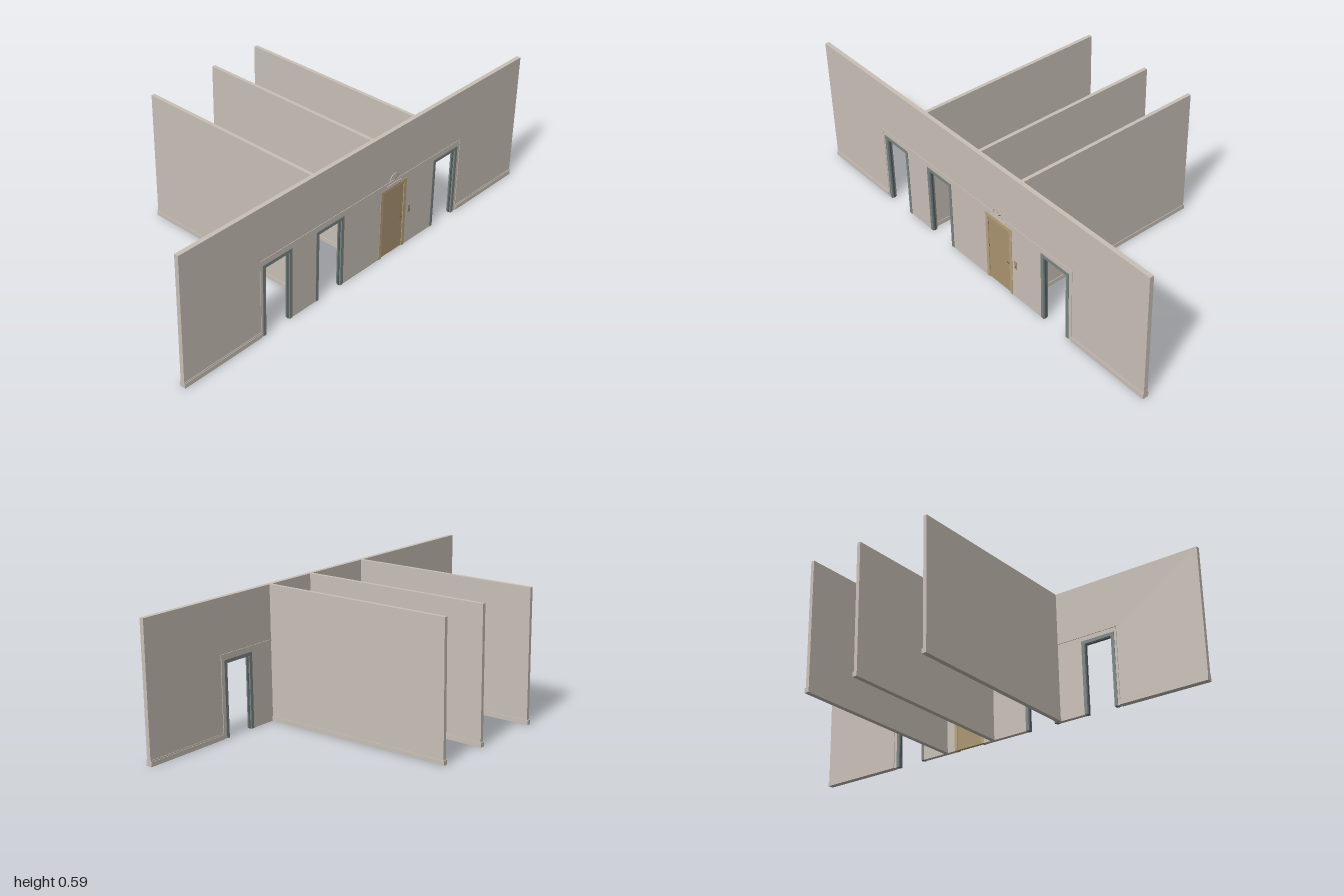
import * as THREE from 'three';

const mat = (name, color, side = THREE.FrontSide) => {
  const m = new THREE.MeshStandardMaterial({ color, side });
  m.name = name;
  return m;
};

export function createModel() {
  const root = new THREE.Group();
  root.name = 'corridorWalls';
  const plaster = mat('plaster', 0xc9c0b7);
  const frameGrey = mat('frameGrey', 0x7b8583);
  const stopGrey = mat('stopGrey', 0x535c5e);
  const wood = mat('wood', 0xab9571);
  const trimWood = mat('trimWood', 0xb7a27f);
  const metal = mat('metal', 0x6a6258);

  const H = 0.59, Z0 = 0.432, Z1 = 0.451, ZM = (Z0 + Z1) / 2;
  const DOOR_W = 0.16, DOOR_H = 0.33, JAMB = 0.015;
  const doors = [-0.51, -0.215, 0.168, 0.503];

  // Box given by its minimum and maximum corners
  const box = (name, material, x0, x1, y0, y1, z0, z1, parent = root) => {
    const mesh = new THREE.Mesh(new THREE.BoxGeometry(x1 - x0, y1 - y0, z1 - z0), material);
    mesh.position.set((x0 + x1) / 2, (y0 + y1) / 2, (z0 + z1) / 2);
    mesh.name = name;
    parent.add(mesh);
    return mesh;
  };

  // Extrusion of an x-y outline from z0 to z1
  const slab = (name, material, points, z0, z1, parent = root) => {
    const shape = new THREE.Shape(points.map(([x, y]) => new THREE.Vector2(x, y)));
    const geo = new THREE.ExtrudeGeometry(shape, { depth: z1 - z0, bevelEnabled: false });
    geo.translate(0, 0, z0);
    const mesh = new THREE.Mesh(geo, material);
    mesh.name = name;
    parent.add(mesh);
    return mesh;
  };

  // Upside-down U around a doorway
  const arch = (cx, width, height, t) => {
    const a = width / 2, b = a - t;
    return [[cx - a, 0], [cx - a, height], [cx + a, height], [cx + a, 0],
      [cx + b, 0], [cx + b, height - t], [cx - b, height - t], [cx - b, 0]];
  };

  // Long front wall notched for the four doorways
  const outline = [[-1, 0]];
  for (const cx of doors) {
    const a = DOOR_W / 2 - 0.002, h = DOOR_H - 0.002;
    outline.push([cx - a, 0], [cx - a, h], [cx + a, h], [cx + a, 0]);
  }
  outline.push([1, 0], [1, H], [-1, H]);
  slab('frontWall', plaster, outline, Z0, Z1);

  // Three rear partitions with sloped-top skirting around their feet
  for (const x of [-0.303, 0.042, 0.297]) {
    box('partition', plaster, x - 0.008, x + 0.008, 0, H, -0.451, Z0);
    for (const s of [-1, 1]) {
      const e = x + s * 0.008, o = x + s * 0.0105;
      box('partitionSkirting', plaster, Math.min(e, o), Math.max(e, o), 0, 0.02, -0.451, Z0);
    }
    box('partitionEndSkirting', plaster, x - 0.0105, x + 0.0105, 0, 0.02, -0.455, -0.451);
  }

  // Skirting on the outer wall lengths, both faces
  for (const [x0, x1] of [[-1, -0.6], [0.6, 1]]) {
    box('skirting', plaster, x0, x1, 0, 0.02, Z0 - 0.004, Z1 + 0.004);
    box('skirtingCap', plaster, x0, x1, 0.02, 0.026, Z0 - 0.002, Z1 + 0.002);
  }

  // Thin raised border over the doorways, both faces
  for (const [z0, z1] of [[Z0 - 0.003, Z0], [Z1, Z1 + 0.002]]) {
    box('borderRail', plaster, -0.602, 0.602, 0.35, 0.356, z0, z1);
    for (const s of [-1, 1]) {
      box('borderPost', plaster, s * 0.6 - 0.002, s * 0.6 + 0.002, 0.026, 0.35, z0, z1);
    }
  }

  // Door frames: casing with an inner stop
  doors.forEach((cx, i) => {
    const frame = new THREE.Group();
    frame.name = 'doorFrame';
    root.add(frame);
    const closed = i === 2;
    slab('casing', closed ? trimWood : frameGrey, arch(cx, DOOR_W, DOOR_H, JAMB), Z0 - 0.002, Z1 + 0.002, frame);
    if (!closed) {
      slab('doorStop', stopGrey, arch(cx, DOOR_W - 2 * JAMB + 0.002, DOOR_H - JAMB + 0.001, 0.003), ZM - 0.004, ZM + 0.004, frame);
    }
  });

  // Closed wooden door with handles, hinges and kick plate
  const door = new THREE.Group();
  door.name = 'door';
  root.add(door);
  const dx = doors[2], half = DOOR_W / 2 - JAMB;
  box('doorLeaf', wood, dx - half, dx + half, 0.002, DOOR_H - JAMB, ZM - 0.006, ZM + 0.008, door);
  for (const [z0, z1] of [[ZM - 0.009, ZM - 0.006], [ZM + 0.008, ZM + 0.011]]) {
    box('handle', metal, dx + half - 0.018, dx + half - 0.006, 0.148, 0.152, z0, z1, door);
  }
  for (const y of [0.04, 0.16, 0.27]) {
    box('hinge', metal, dx - half, dx - half + 0.002, y, y + 0.015, ZM + 0.008, ZM + 0.01, door);
  }

  // Wall switch beside the door
  box('switchPlate', wood, 0.264, 0.278, 0.15, 0.186, Z1, Z1 + 0.003);
  box('switchButton', metal, 0.268, 0.274, 0.158, 0.166, Z1 + 0.003, Z1 + 0.004);

  // Small arched ornament and ledge above the door
  const ornament = new THREE.Group();
  ornament.name = 'doorOrnament';
  root.add(ornament);
  const ring = new THREE.Mesh(new THREE.TorusGeometry(0.03, 0.0018, 6, 20, Math.PI), plaster);
  ring.position.set(dx, 0.356, Z1 + 0.002);
  ring.name = 'ornamentArch';
  ornament.add(ring);
  box('ornamentLedge', plaster, dx - 0.045, dx + 0.045, 0.34, 0.343, Z1, Z1 + 0.003, ornament);
  const pointer = box('ornamentPointer', metal, dx - 0.001, dx + 0.025, 0.363, 0.365, Z1, Z1 + 0.003, ornament);
  pointer.rotation.z = 0.7;

  return root;
}
